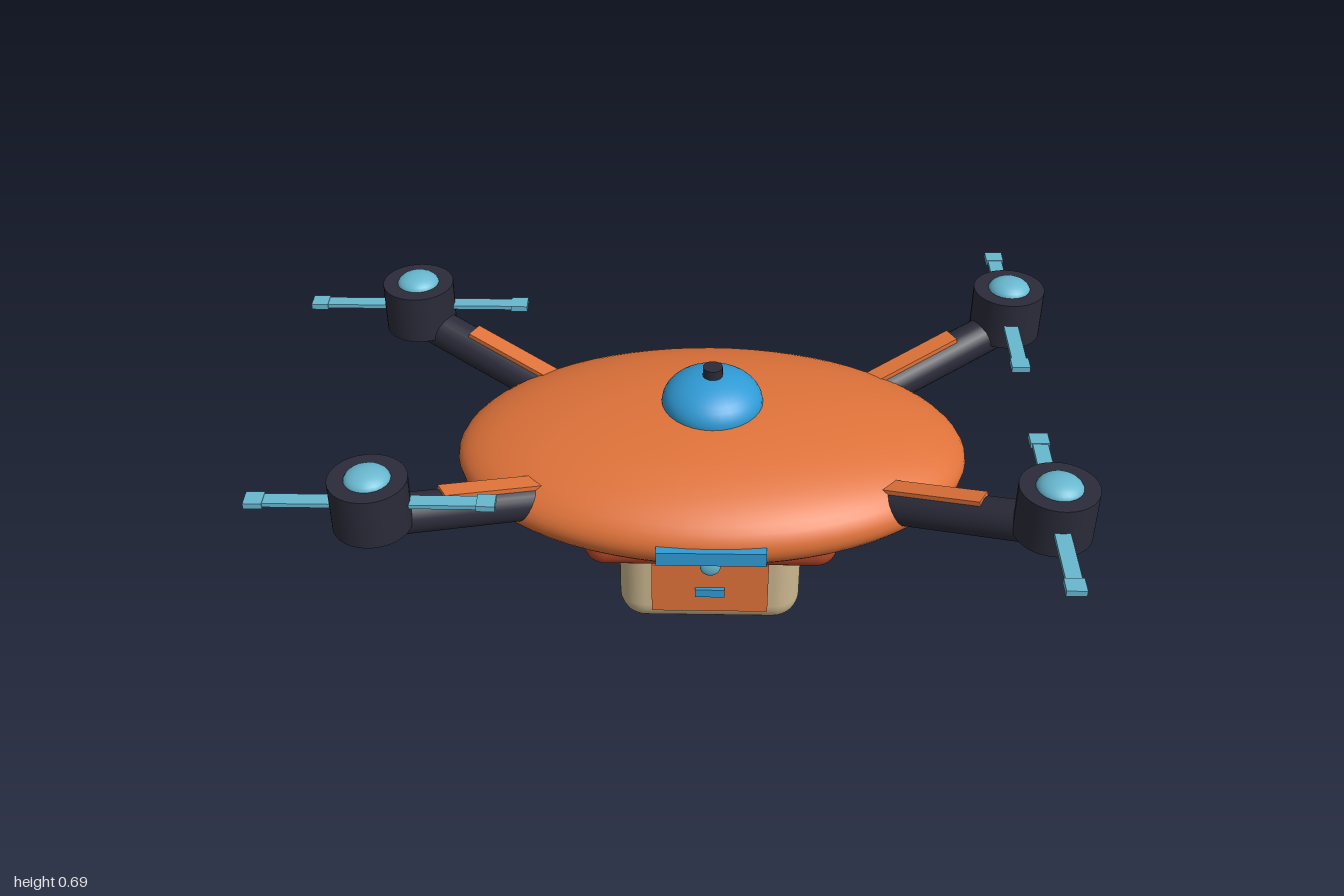
import * as THREE from 'three';
import { RoundedBoxGeometry } from 'three/addons/geometries/RoundedBoxGeometry.js';

const paint = (name, color) => {
  const m = new THREE.MeshStandardMaterial({ color });
  m.name = name;
  return m;
};

export function createModel() {
  const orange = paint('orange', 0xe0733a);
  const rust = paint('rust', 0xb5482a);
  const charcoal = paint('charcoal', 0x2b2b3a);
  const blue = paint('blue', 0x309bd6);
  const paleBlue = paint('pale blue', 0x68b8d0);
  const tan = paint('tan', 0xcbb78f);

  const drone = new THREE.Group();
  drone.name = 'drone';
  drone.position.set(0.096, 0, -0.022);
  drone.rotation.y = -0.02;

  const add = (parent, name, geometry, material, x = 0, y = 0, z = 0) => {
    const mesh = new THREE.Mesh(geometry, material);
    mesh.name = name;
    mesh.position.set(x, y, z);
    parent.add(mesh);
    return mesh;
  };
  const ellipsoid = (rx, ry, rz, w = 32, h = 20) =>
    new THREE.SphereGeometry(1, w, h).scale(rx, ry, rz);
  const box = (w, h, d) => new THREE.BoxGeometry(w, h, d);

  // Hull, top dome and antenna knob
  add(drone, 'body', ellipsoid(0.65, 0.153, 0.42, 64, 32), orange, 0, 0.437, 0.003);
  add(drone, 'topDome', ellipsoid(0.128, 0.078, 0.128), blue, 0, 0.587, -0.006);
  add(drone, 'antennaKnob', new THREE.CylinderGeometry(0.025, 0.025, 0.05, 20), charcoal, 0, 0.663, -0.006);

  // Cargo mount and parcel box under the hull
  add(drone, 'cargoMount', new RoundedBoxGeometry(0.65, 0.13, 0.43, 4, 0.055), rust, 0, 0.275, 0.01);
  add(drone, 'cargoBox', new RoundedBoxGeometry(0.472, 0.28, 0.338, 4, 0.07), tan, 0, 0.14, 0.024);
  add(drone, 'cargoDoor', box(0.3, 0.155, 0.025), orange, 0, 0.151, 0.204);
  add(drone, 'doorHandle', box(0.076, 0.024, 0.018), blue, 0, 0.142, 0.218);

  // Front lamp bar and camera lens
  add(drone, 'lampBar', box(0.265, 0.038, 0.03), blue, 0, 0.433, 0.422);
  add(drone, 'cameraLens', ellipsoid(0.026, 0.026, 0.01, 20, 14), paleBlue, 0, 0.238, 0.235);

  // Four arms, each with a motor and a two-blade rotor
  for (const sx of [-1, 1]) {
    for (const sz of [-1, 1]) {
      const side = sx > 0 ? 'Left' : 'Right';
      const end = sz > 0 ? 'front' : 'rear';
      const unit = new THREE.Group();
      unit.name = `${end}${side}RotorUnit`;
      drone.add(unit);

      const from = new THREE.Vector3(sx * 0.38, 0.44, sz * 0.21);
      const to = new THREE.Vector3(sx * 0.796, 0.552, sz * 0.436);
      const length = from.distanceTo(to);
      const arm = new THREE.Group();
      arm.name = 'arm';
      arm.position.copy(from);
      arm.lookAt(to);
      unit.add(arm);
      const tube = new THREE.CylinderGeometry(0.05, 0.05, length, 24).rotateX(Math.PI / 2);
      add(arm, 'armTube', tube, charcoal, 0, 0, length / 2);
      add(arm, 'armStripe', box(0.048, 0.022, 0.3), orange, 0, 0.045, 0.17);

      add(unit, 'motor', new THREE.CylinderGeometry(0.094, 0.094, 0.132, 32), charcoal, to.x, 0.599, to.z);
      add(unit, 'rotorCap', ellipsoid(0.056, 0.03, 0.056, 24, 14), paleBlue, to.x, 0.661, to.z);

      // Blades run sideways on the right and lengthwise on the left
      const rotor = new THREE.Group();
      rotor.name = 'rotor';
      rotor.position.set(to.x, 0.597, to.z);
      if (sx > 0) rotor.rotation.y = Math.PI / 2;
      unit.add(rotor);
      add(rotor, 'blades', box(0.56, 0.011, 0.038), paleBlue);
      for (const s of [-1, 1]) {
        add(rotor, 'bladeTip', box(0.044, 0.015, 0.047), paleBlue, s * 0.271, 0, 0);
      }
    }
  }

  const model = new THREE.Group();
  model.name = 'deliveryDrone';
  model.add(drone);
  return model;
}
